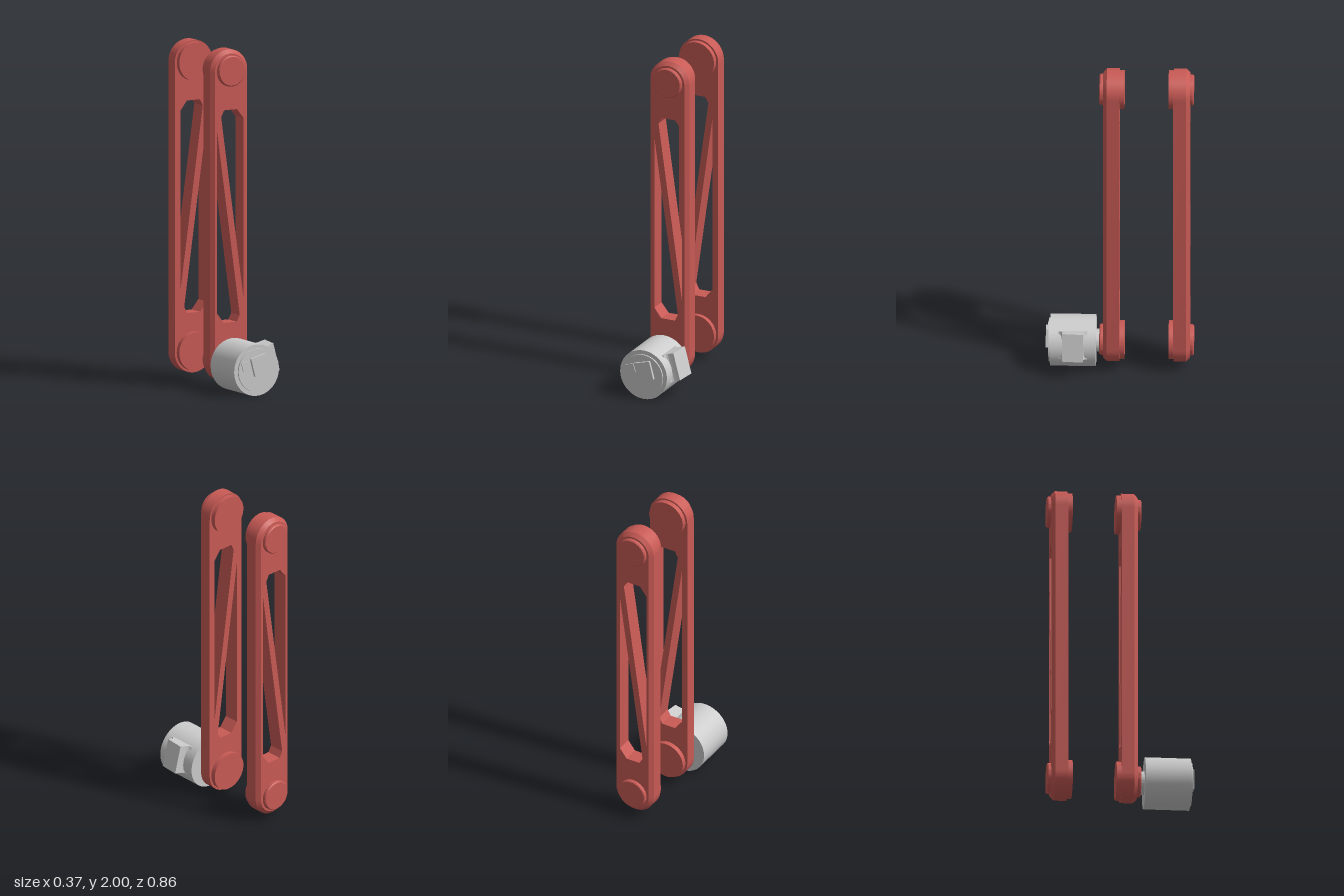
import * as THREE from 'three';
import { toCreasedNormals } from 'three/addons/utils/BufferGeometryUtils.js';

const red = new THREE.MeshStandardMaterial({ color: 0xc85a55 });
const grey = new THREE.MeshStandardMaterial({ color: 0xcccccc });
const TILT = 0.26;

function part(parent, name, geometry, material, x = 0, y = 0, z = 0) {
  const mesh = new THREE.Mesh(toCreasedNormals(geometry, 0.5), material);
  mesh.name = name;
  mesh.position.set(x, y, z);
  parent.add(mesh);
  return mesh;
}

// Disc along z with a chamfered front rim
function disc(r, z0, z1, c = 0) {
  const pts = [[0, z0], [r, z0], [r, z1 - c]];
  if (c > 0) pts.push([r - c, z1]);
  pts.push([0, z1]);
  return new THREE.LatheGeometry(pts.map(p => new THREE.Vector2(...p)), 64).rotateX(Math.PI / 2);
}

// Rounded bar with two openings that leave a diagonal brace; only the outer front rim is chamfered
function armPlate() {
  const R = 0.127, H = 0.855, depth = 0.096, chamfer = 0.022;
  const shape = new THREE.Shape();
  shape.moveTo(R, -H);
  shape.lineTo(R, H);
  shape.absarc(0, H, R, 0, Math.PI, false);
  shape.lineTo(-R, -H);
  shape.absarc(0, -H, R, Math.PI, 2 * Math.PI, false);
  const opening = [[-0.09, 0.5], [0.063, -0.59], [0.043, -0.628], [-0.045, -0.628], [-0.09, -0.57]];
  for (const s of [1, -1]) {
    shape.holes.push(new THREE.Path(opening.map(([x, y]) => new THREE.Vector2(s * x, s * y))));
  }
  const geo = new THREE.ExtrudeGeometry(shape, { depth: 1, steps: 2, bevelEnabled: false, curveSegments: 32 });
  const p = geo.attributes.position;
  for (let i = 0; i < p.count; i++) {
    const x = p.getX(i), y = p.getY(i), z = p.getZ(i);
    const cy = THREE.MathUtils.clamp(y, -H, H);
    const onRim = Math.hypot(x, y - cy) > R - 0.005;
    const k = z > 0.9 && onRim ? (R - chamfer) / R : 1;
    p.setXYZ(i, x * k, cy + (y - cy) * k, z < 0.1 ? 0 : z < 0.9 ? depth - chamfer : depth);
  }
  return geo;
}

function arm(name) {
  const g = new THREE.Group();
  g.name = name;
  part(g, 'bracedPlate', armPlate(), red);
  for (const y of [-0.855, 0.858]) {
    part(g, 'innerBoss', disc(0.114, -0.029, 0), red, 0, y);
    part(g, 'outerBoss', disc(0.091, 0.09, 0.118, 0.006), red, 0, y);
  }
  return g;
}

// Side socket: flared root with fillets, slanted outer face
function socket() {
  const s = new THREE.Shape();
  s.moveTo(0.09, 0.187);
  s.lineTo(0.132, 0.187);
  s.quadraticCurveTo(0.135, 0.21, 0.158, 0.21);
  s.lineTo(0.202, 0.21);
  s.lineTo(0.187, 0.332);
  s.lineTo(0.158, 0.332);
  s.quadraticCurveTo(0.135, 0.332, 0.132, 0.355);
  s.lineTo(0.09, 0.355);
  s.closePath();
  return new THREE.ExtrudeGeometry(s, { depth: 0.168, bevelEnabled: false, curveSegments: 8 })
    .rotateX(Math.PI / 2).translate(0, 0.09, 0);
}

export function createModel() {
  const model = new THREE.Group();
  model.name = 'linkArms';

  // Matching arms, the back one turned to face away
  const front = arm('frontArm');
  front.position.set(-0.0265, 1.018, 0);
  const back = arm('backArm');
  back.position.set(-0.0315, 1.018, -0.315);
  back.rotation.y = Math.PI;
  model.add(front, back);

  // Motor on the lower front pivot
  const motor = new THREE.Group();
  motor.name = 'motor';
  motor.position.set(-0.034, 0.152, 0);
  motor.rotation.z = TILT;
  part(motor, 'neck', disc(0.068, 0.11, 0.14), grey);
  part(motor, 'housing', disc(0.152, 0.137, 0.405), grey);
  part(motor, 'endCap', disc(0.127, 0.4, 0.414), grey);
  part(motor, 'sideSocket', socket(), grey);
  part(motor, 'largeCapBlock', new THREE.BoxGeometry(0.102, 0.11, 0.024), grey, 0.02, 0.027, 0.418);
  part(motor, 'smallCapBlock', new THREE.BoxGeometry(0.053, 0.053, 0.014), grey, -0.068, 0.05, 0.413);
  model.add(motor);

  return model;
}
